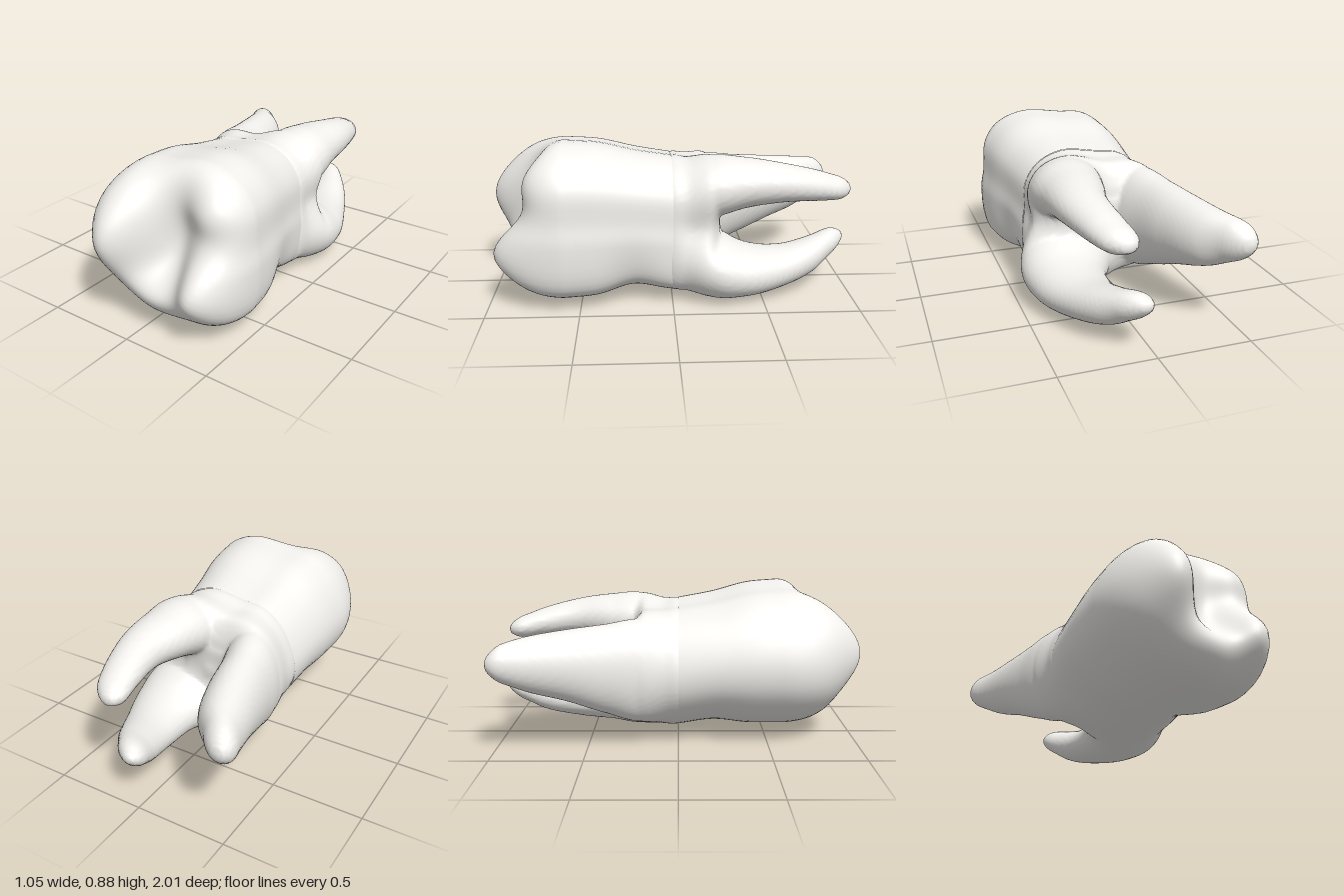
import * as THREE from 'three';

const SIDES = 72;
const material = new THREE.MeshStandardMaterial({ color: 0xf2f1ed });

// Crown cross-section seen from the front, counter-clockwise, as fractions of its bounding box
const crownOutline = new THREE.CatmullRomCurve3([
  [0.52, 0.37], [0.505, 0.5], [0.49, 0.68], [0.4, 0.805], [0.24, 0.87], [0, 0.845], [-0.16, 0.82], [-0.3, 0.7],
  [-0.39, 0.48], [-0.36, 0.31], [-0.2, 0.14], [0, 0.05], [0.2, 0.03], [0.4, 0.06], [0.49, 0.14],
].map(([x, y]) => new THREE.Vector3((x + 0.39) / 0.91, (y - 0.03) / 0.84, 0)), true);
const crownUnit = crownOutline.getPoints(SIDES).slice(0, SIDES);

// Radius of that outline (box scaled to -1..1) in a given direction
const polar = crownUnit.map((p) => ({
  a: Math.atan2(p.y - 0.5, p.x - 0.5), r: 2 * Math.hypot(p.x - 0.5, p.y - 0.5),
})).sort((p, q) => p.a - q.a);
function crownRadius(angle) {
  const i = polar.findIndex((p) => p.a > angle);
  const q = polar[i < 0 ? 0 : i], p = polar[i <= 0 ? SIDES - 1 : i - 1];
  const turn = Math.PI * 2, span = (q.a - p.a + turn) % turn;
  return p.r + (q.r - p.r) * ((angle - p.a + turn) % turn) / span;
}

// Smooth bounding box [xMin, xMax, yMin, yMax] along z through stations [z, ...box]
function boxAlong(stations) {
  const spline = new THREE.CubicInterpolant(
    stations.map((s) => s[0]), stations.flatMap((s) => s.slice(1)), 4, new Float32Array(4));
  return (z) => [...spline.evaluate(z)];
}

function addMesh(group, name, positions, index) {
  const geometry = new THREE.BufferGeometry();
  geometry.setAttribute('position', new THREE.Float32BufferAttribute(positions, 3));
  geometry.setIndex(index);
  geometry.computeVertexNormals();
  const mesh = new THREE.Mesh(geometry, material);
  mesh.name = name;
  group.add(mesh);
}

// Chewing surface: cusps rising around a central hollow
const bump = (x, y, cx, cy, sx, sy) => Math.exp(-(((x - cx) / sx) ** 2) - ((y - cy) / sy) ** 2);
const biteHeight = (x, y) => 0.71
  + 0.31 * bump(x, y, -0.14, 0.5, 0.19, 0.32)
  + 0.25 * bump(x, y, 0.37, 0.32, 0.15, 0.19)
  + 0.11 * bump(x, y, 0.38, 0.7, 0.16, 0.14)
  + 0.18 * bump(x, y, 0.11, 0.19, 0.2, 0.14)
  - 0.03 * bump(x, y, 0.15, 0.5, 0.1, 0.2);

// Crown: rings from the neck to the widest part, then inwards over the cusps
function addCrown(group) {
  const rimZ = 0.58, cx = 0.1, cy = 0.46, steps = 40, rings = [], index = [];
  const box = boxAlong([
    [0, -0.355, 0.41, 0.035, 0.77],
    [0.2, -0.37, 0.45, 0.06, 0.805],
    [0.4, -0.385, 0.495, 0.035, 0.855],
    [rimZ, -0.39, 0.52, 0.03, 0.87],
  ]);
  for (let i = 0; i <= 24; i++) {
    const z = rimZ * i / 24, [x0, x1, y0, y1] = box(z);
    rings.push(crownUnit.map((p) => {
      // shallow hollow above the lower root
      const s = 1 - 0.07 * bump(p.x, p.y, 0.95, 0.12, 0.25, 0.25) * bump(z, 0, 0.22, 0, 0.14, 1);
      return [x0 + (x1 - x0) * (0.5 + (p.x - 0.5) * s), y0 + (y1 - y0) * (0.5 + (p.y - 0.5) * s), z];
    }));
  }
  const rim = rings[24];
  for (let i = 1; i < steps; i++) {
    const t = Math.cos((i / steps) * Math.PI / 2), rise = Math.sqrt(1 - t ** 5);
    const s = t / (1 + (t / 0.75) ** 6) ** (1 / 6);
    rings.push(rim.map(([px, py]) => [cx + (px - cx) * t, cy + (py - cy) * t,
      rimZ + (biteHeight(cx + (px - cx) * s, cy + (py - cy) * s) - rimZ) * rise]));
  }
  const last = (rings.length - 1) * SIDES, pole = last + SIDES;
  for (let j = 0; j < SIDES; j++) {
    const k = (j + 1) % SIDES;
    for (let r = 0; r < last; r += SIDES) {
      index.push(r + j, r + k, r + SIDES + k, r + j, r + SIDES + k, r + SIDES + j);
    }
    index.push(pole, last + j, last + k);
  }
  addMesh(group, 'crown', [...rings.flat(2), cx, cy, biteHeight(cx, cy)], index);
}

// A limb gives, for each z, a signed distance in the slice; its back end is rounded
function limb(stations, radius = () => 1) {
  const box = boxAlong(stations), end = stations[0][0], round = 0.09;
  return (z) => {
    const [x0, x1, y0, y1] = box(z);
    const taper = Math.sqrt(Math.max(0.003, 1 - (Math.max(0, end + round - z) / round) ** 2));
    const cx = (x0 + x1) / 2, cy = (y0 + y1) / 2;
    const rx = taper * (x1 - x0) / 2, ry = taper * (y1 - y0) / 2;
    return (x, y) => {
      const u = (x - cx) / rx, v = (y - cy) / ry;
      const inSlice = (Math.hypot(u, v) / radius(Math.atan2(v, u)) - 1) * Math.min(rx, ry);
      return Math.max(inSlice, end - z);
    };
  };
}

const limbs = [
  // trunk below the neck
  limb([
    [-0.275, -0.32, 0.39, 0.08, 0.735],
    [-0.18, -0.34, 0.405, 0.05, 0.755],
    [-0.09, -0.345, 0.4, 0.038, 0.757],
    [0, -0.353, 0.408, 0.036, 0.768],
    [0.1, -0.31, 0.35, 0.09, 0.71],
  ], crownRadius),
  // broad root
  limb([
    [-1, -0.54, -0.4, 0.44, 0.58],
    [-0.9, -0.525, -0.335, 0.395, 0.615],
    [-0.8, -0.495, -0.24, 0.34, 0.635],
    [-0.6, -0.45, -0.15, 0.27, 0.66],
    [-0.4, -0.41, -0.095, 0.19, 0.68],
    [-0.2, -0.37, -0.03, 0.13, 0.7],
    [0.1, -0.22, 0, 0.28, 0.6],
  ]),
  // upper root
  limb([
    [-1, 0.075, 0.22, 0.53, 0.635],
    [-0.9, 0.085, 0.275, 0.53, 0.665],
    [-0.8, 0.1, 0.315, 0.535, 0.7],
    [-0.6, 0.11, 0.37, 0.54, 0.75],
    [-0.4, 0.06, 0.395, 0.51, 0.78],
    [-0.2, 0.02, 0.41, 0.45, 0.785],
    [0.1, 0.07, 0.27, 0.42, 0.62],
  ]),
  // lower root
  limb([
    [-1, -0.01, 0.11, 0.225, 0.32],
    [-0.9, 0.005, 0.19, 0.165, 0.322],
    [-0.8, 0.03, 0.27, 0.1, 0.3],
    [-0.6, 0.06, 0.375, 0.04, 0.27],
    [-0.4, 0.05, 0.455, 0.01, 0.3],
    [-0.2, -0.04, 0.47, 0.004, 0.39],
    [0.1, 0.05, 0.29, 0.18, 0.4],
  ]),
];

// Smooth union, so the roots grow out of the trunk with rounded forks
function blend(a, b) {
  const k = 0.08, h = Math.max(0, k - Math.abs(a - b));
  return Math.min(a, b) - h * h / (4 * k);
}

// Roots: skin the blended limbs on a grid, one vertex per cell the surface crosses
function addRoots(group) {
  const step = 0.016, origin = [-0.584, -0.05, -1.05], size = [73, 58, 70];
  const stride = [1, size[0], size[0] * size[1]], values = [];
  for (let k = 0; k < size[2]; k++) {
    const slices = limbs.map((l) => l(origin[2] + k * step));
    for (let j = 0; j < size[1]; j++) {
      for (let i = 0; i < size[0]; i++) {
        values.push(slices.map((f) => f(origin[0] + i * step, origin[1] + j * step)).reduce(blend));
      }
    }
  }
  const positions = [], index = [], vertexOf = new Map();
  const eachCell = (visit) => {
    for (let k = 0; k < size[2] - 1; k++)
      for (let j = 0; j < size[1] - 1; j++)
        for (let i = 0; i < size[0] - 1; i++) visit([i, j, k], i + j * stride[1] + k * stride[2]);
  };
  eachCell((cell, id) => {
    const sum = [0, 0, 0];
    let hits = 0;
    for (let c = 0; c < 8; c++) {
      for (let axis = 0; axis < 3; axis++) {
        if (c >> axis & 1) continue;
        const corner = [c & 1, c >> 1 & 1, c >> 2 & 1];
        const at = id + corner.reduce((s, v, n) => s + v * stride[n], 0);
        const a = values[at], b = values[at + stride[axis]];
        if (a < 0 === b < 0) continue;
        corner[axis] = a / (a - b);
        corner.forEach((v, n) => { sum[n] += v; });
        hits++;
      }
    }
    if (!hits) return;
    vertexOf.set(id, positions.length / 3);
    sum.forEach((s, n) => positions.push(origin[n] + (cell[n] + s / hits) * step));
  });
  // Join the four cells around every crossed grid edge
  eachCell((cell, id) => {
    for (let axis = 0; axis < 3; axis++) {
      const inside = values[id] < 0, m = (axis + 1) % 3, n = (axis + 2) % 3;
      if (inside === values[id + stride[axis]] < 0 || !cell[m] || !cell[n]) continue;
      const quad = [id - stride[m] - stride[n], id - stride[n], id, id - stride[m]].map((q) => vertexOf.get(q));
      if (!inside) quad.reverse();
      index.push(quad[0], quad[1], quad[2], quad[0], quad[2], quad[3]);
    }
  });
  addMesh(group, 'roots', positions, index);
}

export function createModel() {
  const tooth = new THREE.Group();
  tooth.name = 'molarTooth';
  addCrown(tooth);
  addRoots(tooth);
  return tooth;
}
